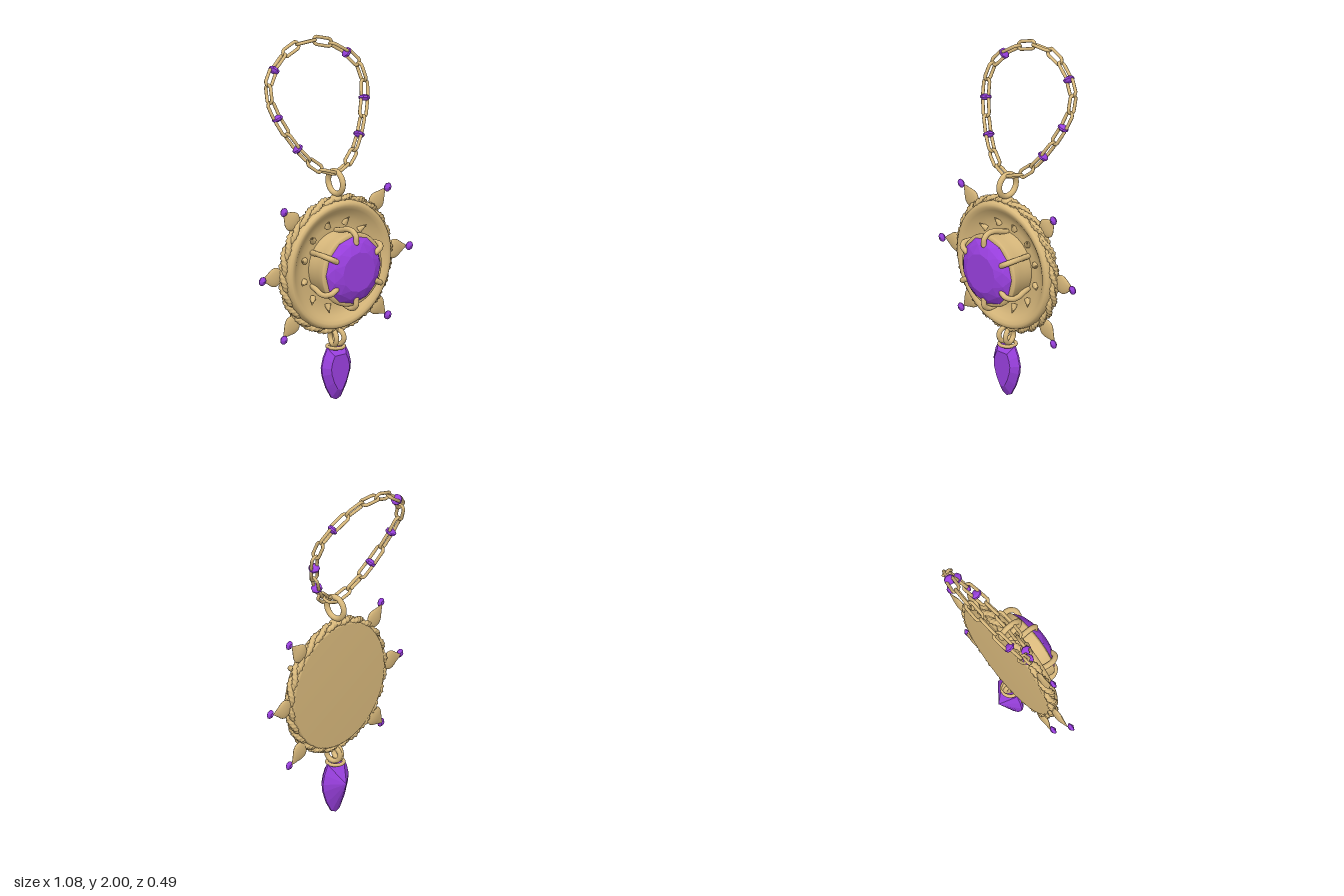
import * as THREE from 'three';
import { ConvexGeometry } from 'three/addons/geometries/ConvexGeometry.js';

const gold = new THREE.MeshStandardMaterial({ color: 0xd9b97c });
const purple = new THREE.MeshStandardMaterial({ color: 0x9a40e0, flatShading: true });
const V2 = (a) => a.map(([x, y]) => new THREE.Vector2(x, y));
const V3 = (x, y, z) => new THREE.Vector3(x, y, z);

function add(parent, name, geometry, material, x = 0, y = 0, z = 0) {
  const mesh = new THREE.Mesh(geometry, material);
  mesh.name = name;
  mesh.position.set(x, y, z);
  parent.add(mesh);
  return mesh;
}

// Solid of revolution around z; profile given as [radius, z]
const turned = (profile, segments = 64) =>
  new THREE.LatheGeometry(V2(profile), segments).rotateX(Math.PI / 2);

// Points of a regular ring in a plane of constant z
function ring(n, r, z, offset = 0) {
  return Array.from({ length: n }, (_, i) => {
    const a = ((i + offset) / n) * Math.PI * 2;
    return V3(r * Math.cos(a), r * Math.sin(a), z);
  });
}

// Twisted rope weaving in and out along the medallion's rim
function ropeGeometry(phase) {
  const pts = Array.from({ length: 144 }, (_, i) => {
    const a = (i / 144) * Math.PI * 2;
    const r = 0.368 + 0.008 * Math.cos(12 * a + phase);
    return V3(r * Math.cos(a), r * Math.sin(a), 0.034 + 0.014 * Math.sin(12 * a + phase));
  });
  const path = new THREE.CatmullRomCurve3(pts, true);
  const n = 480, m = 10;
  const geo = new THREE.TubeGeometry(path, n, 0.016, m, true);
  const pos = geo.attributes.position;
  const c = V3(), p = V3();
  for (let i = 0; i <= n; i++) {
    path.getPointAt((i % n) / n, c);
    for (let j = 0; j <= m; j++) {
      const k = i * (m + 1) + j;
      const ridge = 1 + 0.22 * Math.cos(2 * (j / m) * Math.PI * 2 - (i / n) * 96 * Math.PI * 2);
      p.fromBufferAttribute(pos, k).sub(c).multiplyScalar(ridge).add(c);
      pos.setXYZ(k, p.x, p.y, p.z);
    }
  }
  geo.computeVertexNormals();
  return geo;
}

// Oval chain link lying in the xy plane, long along x
function linkGeometry(length) {
  const r = 0.022, tube = 0.0095;
  const geo = new THREE.TorusGeometry(r, tube, 8, 16).rotateZ(Math.PI / 16);
  const pos = geo.attributes.position;
  const shift = length / 2 - r - tube;
  for (let i = 0; i < pos.count; i++) pos.setX(i, pos.getX(i) + Math.sign(pos.getX(i)) * shift);
  return geo;
}

function buildMedallion() {
  const g = new THREE.Group();
  g.name = 'medallion';
  g.position.y = 0.78;

  // Dished plate with rounded rim
  add(g, 'plate', turned([[0, 0.002], [0.352, 0.002], [0.362, 0.012], [0.362, 0.06], [0.356, 0.078],
    [0.345, 0.086], [0.33, 0.084], [0.312, 0.074], [0.29, 0.056], [0.26, 0.044], [0.22, 0.036], [0, 0.034]], 72), gold);
  add(g, 'rope', ropeGeometry(0), gold);
  add(g, 'rope', ropeGeometry(Math.PI), gold);

  // Raised setting with the cut stone
  add(g, 'bezel', turned([[0.188, 0.03], [0.19, 0.085], [0.198, 0.13], [0.208, 0.172], [0.206, 0.18],
    [0.19, 0.188], [0.1, 0.186]]), gold);
  add(g, 'centreGem', new ConvexGeometry([...ring(12, 0.192, 0.18), ...ring(12, 0.19, 0.192),
    ...ring(12, 0.16, 0.22, 0.5), ...ring(12, 0.112, 0.241)]), purple);

  // Claws gripping the stone
  const clawPath = new THREE.CatmullRomCurve3([V3(0.19, 0, 0.04), V3(0.205, 0, 0.09), V3(0.22, 0, 0.14),
    V3(0.219, 0, 0.185), V3(0.195, 0, 0.213), V3(0.16, 0, 0.214)]);
  const claw = new THREE.TubeGeometry(clawPath, 20, 0.0155, 10);
  const clawTip = new THREE.SphereGeometry(0.0155, 10, 8);
  for (let i = 0; i < 6; i++) {
    const arm = new THREE.Group();
    arm.name = 'claw';
    arm.rotation.z = Math.PI / 6 + (i * Math.PI) / 3;
    add(arm, 'clawArm', claw, gold);
    add(arm, 'clawTip', clawTip, gold, 0.16, 0, 0.214);
    g.add(arm);
  }

  // Small studs leaning outward in the dish
  const stud = new THREE.ConeGeometry(0.02, 0.055, 8);
  for (let i = 0; i < 12; i++) {
    const arm = new THREE.Group();
    arm.name = 'stud';
    arm.rotation.z = Math.PI / 12 + (i * Math.PI) / 6;
    add(arm, 'studCone', stud, gold, 0.251, 0, 0.056).quaternion
      .setFromUnitVectors(V3(0, 1, 0), V3(0.8, 0, 0.6));
    g.add(arm);
  }

  // Flat leaf points tipped with little stones
  const leaf = new THREE.LatheGeometry(new THREE.SplineCurve(V2([[0.0001, 0.365], [0.036, 0.378], [0.054, 0.41],
    [0.048, 0.44], [0.027, 0.47], [0.012, 0.492], [0.0001, 0.505]])).getPoints(20), 24).scale(1, 1, 0.25);
  const tip = new ConvexGeometry([...ring(8, 0.012, 0.025), ...ring(8, 0.025, 0.037, 0.5),
    ...ring(8, 0.025, 0.042), V3(0, 0, 0.055)]);
  for (const deg of [0, 45, 135, 180, 225, 315]) {
    const arm = new THREE.Group();
    arm.name = 'leafPoint';
    arm.rotation.z = ((deg - 90) * Math.PI) / 180;
    add(arm, 'leaf', leaf, gold, 0, 0, 0.025);
    add(arm, 'tipGem', tip, purple, 0, 0.515, 0);
    g.add(arm);
  }
  return g;
}

function buildDrop() {
  const g = new THREE.Group();
  g.name = 'drop';
  const loop = new THREE.TorusGeometry(0.041, 0.014, 10, 28).rotateY(Math.PI / 2);
  for (const s of [-1, 1]) {
    add(g, 'dropLoop', loop, gold, s * 0.016, 0.362, 0.037).rotation.y = s * 0.25;
  }
  add(g, 'dropCollar', new THREE.TorusGeometry(0.046, 0.01, 10, 28).rotateX(Math.PI / 2), gold, 0, 0.31, 0.037);

  // Faceted pear: outline, smaller front table, pointed back
  const outline = [[0, 0.008], [0.032, 0.022], [0.07, 0.085], [0.097, 0.16], [0.102, 0.205], [0.088, 0.26], [0.062, 0.31]];
  const pts = [V3(0, 0.2, -0.045)];
  for (const [x, y] of outline) {
    for (const s of [-1, 1]) {
      pts.push(V3(s * x, y, 0.034), V3(s * x, y, 0.044));
      pts.push(V3(s * x * 0.62, 0.19 + (y - 0.19) * 0.66, 0.08));
    }
  }
  add(g, 'dropGem', new ConvexGeometry(pts), purple);
  return g;
}

function buildChain() {
  const g = new THREE.Group();
  g.name = 'chain';
  const slope = 0.37;
  const half = [[0, 1.3], [0.11, 1.345], [0.215, 1.46], [0.305, 1.635], [0.327, 1.73], [0.312, 1.81],
    [0.255, 1.88], [0.13, 1.957], [0, 1.98]];
  const all = [...half, ...half.slice(1, -1).reverse().map(([x, y]) => [-x, y])];
  const path = new THREE.CatmullRomCurve3(all.map(([x, y]) => V3(x, y, 0.034 - slope * (y - 1.3))), true);
  const div = 20;
  path.arcLengthDivisions = all.length * div;
  const lengths = path.getLengths();
  const total = lengths[lengths.length - 1];
  const planeNormal = V3(0, slope, 1).normalize();

  // Turns a mesh so x follows the chain and z is in or across its plane
  const orient = (mesh, u, across) => {
    const t = path.getTangentAt(u);
    const side = planeNormal.clone().cross(t).normalize();
    const z = across ? side : planeNormal;
    mesh.position.copy(path.getPointAt(u));
    mesh.quaternion.setFromRotationMatrix(new THREE.Matrix4().makeBasis(t, z.clone().cross(t), z));
  };

  // [start point, end point, link count, first link turned across]
  const runs = [[0, 2, 3, 1], [2, 3, 2, 1], [3, 6, 3, 0], [6, 10, 5, 1], [10, 13, 3, 0], [13, 14, 2, 0], [14, 16, 3, 1]];
  const bead = new THREE.SphereGeometry(0.033, 8, 5).rotateZ(Math.PI / 2).scale(0.55, 1, 1);
  for (const [a, b, n, first] of runs) {
    const from = lengths[a * div], step = (lengths[b * div] - from) / n;
    const link = linkGeometry(step + 0.025);
    for (let i = 0; i < n; i++) {
      orient(add(g, 'chainLink', link, gold), (from + step * (i + 0.5)) / total, (i + first) % 2 === 1);
    }
    if (a > 0) orient(add(g, 'chainBead', bead, purple), from / total, false);
  }
  return g;
}

export function createModel() {
  const model = new THREE.Group();
  model.name = 'pendant';
  model.add(buildMedallion(), buildDrop(), buildChain());

  // Hanging ring and its mount on the rim
  add(model, 'bail', new THREE.TorusGeometry(0.063, 0.016, 12, 40).rotateY(Math.PI / 2), gold, 0, 1.243, 0.037);
  add(model, 'bailMount', new THREE.SphereGeometry(0.036, 20, 12).scale(1, 0.55, 0.9), gold, 0, 1.152, 0.037);
  return model;
}
